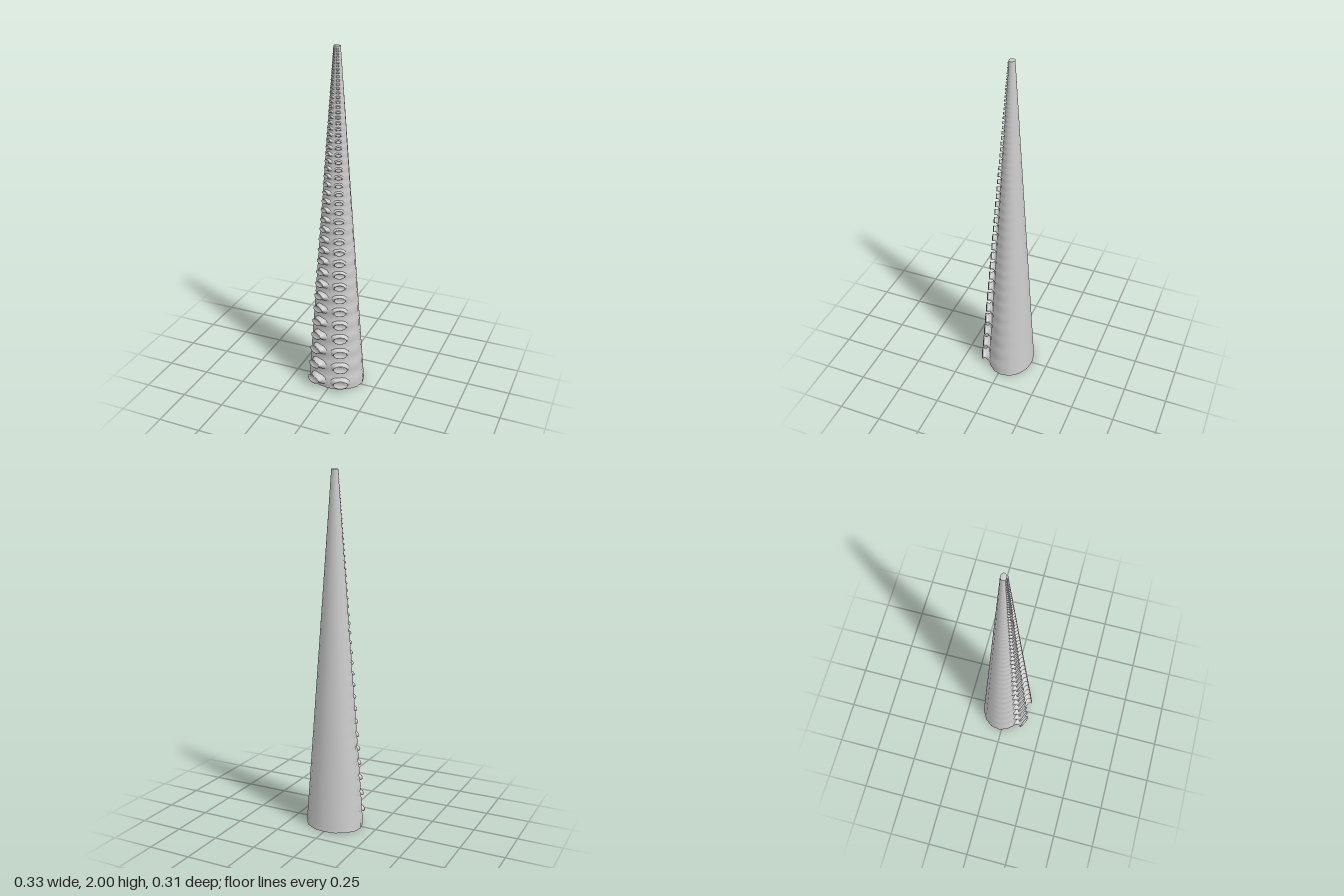
import * as THREE from 'three';
import { mergeGeometries } from 'three/addons/utils/BufferGeometryUtils.js';

// Skin a list of rings (counter-clockwise about the growth axis), closed by an end point
function loft(rings, end) {
  const n = rings[0].length;
  const pos = [], idx = [];
  rings.flat().forEach((p) => pos.push(p.x, p.y, p.z));
  for (let i = 0; i < rings.length - 1; i++) {
    for (let j = 0; j < n; j++) {
      const a = i * n + j, b = i * n + ((j + 1) % n);
      idx.push(a, b, b + n, a, b + n, a + n);
    }
  }
  const last = (rings.length - 1) * n, tip = rings.length * n;
  pos.push(end.x, end.y, end.z);
  for (let j = 0; j < n; j++) idx.push(last + j, last + ((j + 1) % n), tip);
  const g = new THREE.BufferGeometry();
  g.setAttribute('position', new THREE.Float32BufferAttribute(pos, 3));
  g.setIndex(idx);
  g.computeVertexNormals();
  return g;
}

const AXIS_Z = -0.02;
const radius = (y) => 0.168 - 0.0745 * y;
// Rows crowd together towards the tip
const rowHeight = (row) => 2.25 - 2.2 * Math.pow(0.954, row);
const rowAt = (y) => Math.log((2.25 - y) / 2.2) / Math.log(0.954);

function wallPoint(y, angle, grow = 1) {
  const r = radius(y) * grow;
  return new THREE.Vector3(r * Math.sin(angle), y, AXIS_Z + 0.82 * r * Math.cos(angle));
}

// Tapered 16-sided body, smooth at the back and ridged at the front, open underneath
function bodyGeometry() {
  const rings = [], first = rowAt(0), last = rowAt(2), steps = 188;
  for (let i = 0; i <= steps; i++) {
    const row = first + ((last - first) * i) / steps;
    const ring = [];
    for (let j = 0; j < 16; j++) {
      const angle = (j / 16) * Math.PI * 2;
      const weight = Math.max(0, Math.cos(angle) + 0.35) / 1.35;
      const ridge = 0.035 * weight * Math.cos(row * Math.PI * 2);
      ring.push(wallPoint(rowHeight(row), angle, 1 + ridge));
    }
    rings.push(ring);
  }
  return loft(rings, new THREE.Vector3(0, 2, AXIS_Z));
}

// Sucker profile: [width scale, height scale, distance out], relative to the body radius
const PROFILE = [
  [1.5, 1.6, -0.09], [1.15, 1.2, 0.03], [0.9, 0.85, 0.1], [0.9, 0.85, 0.17],
  [1, 1, 0.21], [0.97, 0.97, 0.24], [0.8, 0.8, 0.245], [0.6, 0.55, 0.22],
];

function suckerGeometry(y, side) {
  const r = radius(y);
  const base = wallPoint(y, side * 0.46);
  const out = new THREE.Vector3(side * 0.4, 0.13, 0.92).normalize();
  const across = new THREE.Vector3(0.92, 0, -0.4 * side).normalize();
  const up = new THREE.Vector3().crossVectors(out, across);
  const rings = PROFILE.map(([w, h, d]) => {
    const ring = [];
    for (let j = 0; j < 14; j++) {
      const a = (j / 14) * Math.PI * 2;
      ring.push(base.clone()
        .addScaledVector(across, 0.265 * r * w * Math.cos(a))
        .addScaledVector(up, 0.15 * r * h * Math.sin(a))
        .addScaledVector(out, d * r));
    }
    return ring;
  });
  return loft(rings, base.clone().addScaledVector(out, 0.21 * r));
}

export function createModel() {
  const group = new THREE.Group();
  group.name = 'tentacle';
  const skin = new THREE.MeshStandardMaterial({ color: 0xcccccc, side: THREE.DoubleSide });
  skin.name = 'light grey skin';

  const body = new THREE.Mesh(bodyGeometry(), skin);
  body.name = 'taperedBody';
  group.add(body);

  // Two mirrored columns of suckers
  for (const side of [-1, 1]) {
    const parts = [];
    for (let row = 0; row <= 45; row++) parts.push(suckerGeometry(rowHeight(row), side));
    const column = new THREE.Mesh(mergeGeometries(parts), skin);
    column.name = side > 0 ? 'leftSuckers' : 'rightSuckers';
    group.add(column);
  }
  return group;
}
